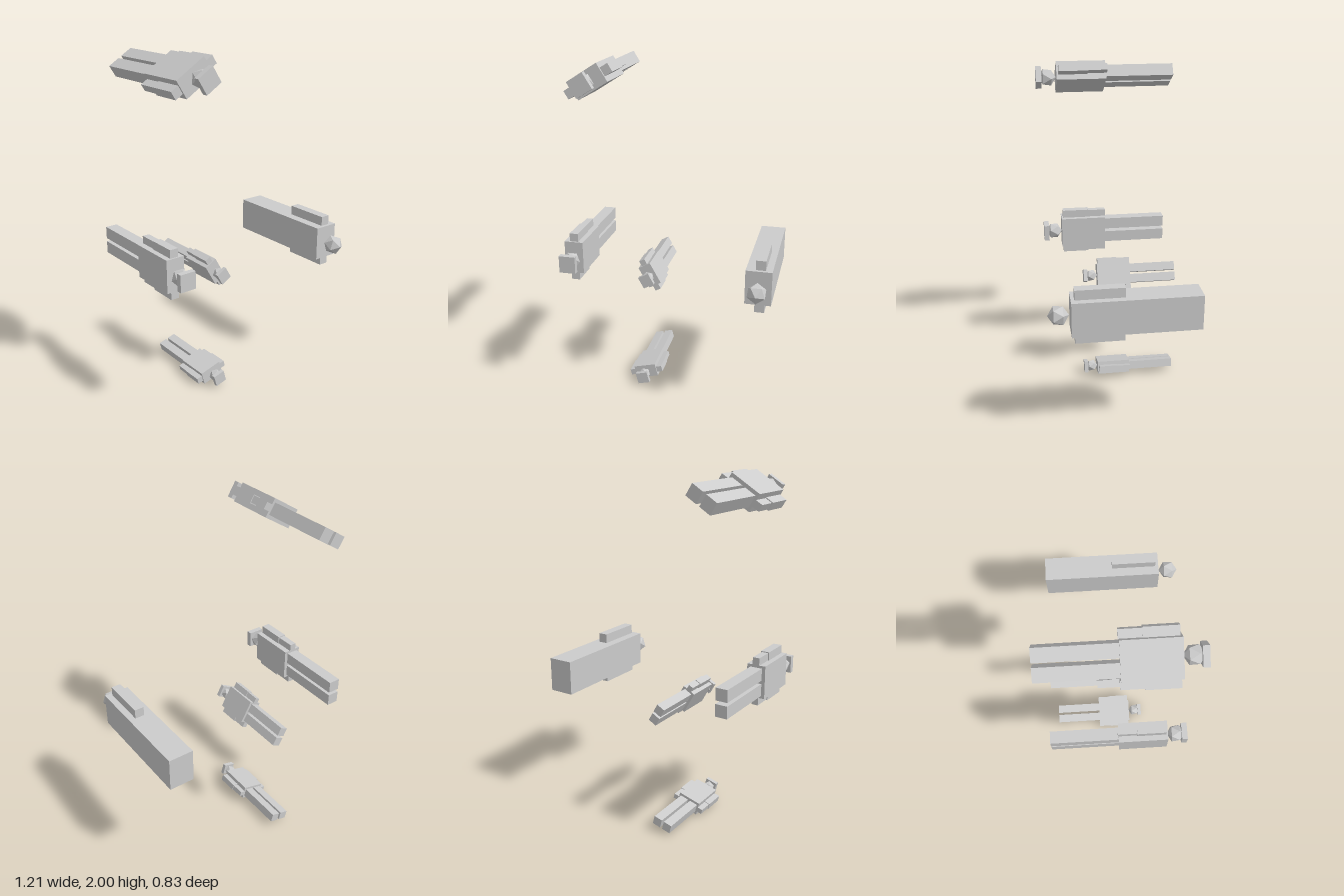
import * as THREE from 'three';

const grey = new THREE.MeshStandardMaterial({ color: 0xcccccc, flatShading: true });

// Box given by its centre (x, y), size (w, h) and z range
function box(parent, name, x, y, w, h, z0, z1) {
  const mesh = new THREE.Mesh(new THREE.BoxGeometry(w, h, z1 - z0), grey);
  mesh.name = name;
  mesh.position.set(x, y, (z0 + z1) / 2);
  parent.add(mesh);
}

// Faceted head with a corner pointing forward and another sideways
function head(parent, x, y, z, r, turn) {
  const geo = new THREE.IcosahedronGeometry(r, 0);
  geo.rotateX(Math.atan(2 / (1 + Math.sqrt(5))));
  geo.rotateZ(turn);
  const mesh = new THREE.Mesh(geo, grey);
  mesh.name = 'head';
  mesh.position.set(x, y, z);
  parent.add(mesh);
}

// Floating figure, feet at local z = 0, head toward +z, arms along x
function figure(name, x, y, degrees, scale) {
  const g = new THREE.Group();
  g.name = name;
  box(g, 'torso', 0, 0, 0.19, 0.11, 0.39, 0.67);
  for (const s of [-1, 1]) {
    box(g, s < 0 ? 'rightLeg' : 'leftLeg', s * 0.045, 0, 0.07, 0.07, 0, 0.39);
    box(g, s < 0 ? 'rightArm' : 'leftArm', s * 0.1165, 0, 0.043, 0.04, 0.385, 0.655);
    box(g, s < 0 ? 'rightSleeve' : 'leftSleeve', s * 0.119, 0, 0.048, 0.05, 0.495, 0.66);
  }
  head(g, 0, 0, 0.72, 0.052, Math.PI / 2);
  box(g, 'cap', 0, 0, 0.1, 0.095, 0.753, 0.785);
  g.position.set(x, y, -0.415);
  g.rotation.z = THREE.MathUtils.degToRad(degrees);
  g.scale.setScalar(scale);
  return g;
}

export function createModel() {
  const model = new THREE.Group();
  model.name = 'floatingFigures';
  model.add(
    figure('topFigure', -0.418, 1.9, 32, 1.03),
    figure('sideFigure', -0.55, 0.88, 90, 1),
    figure('smallMiddleFigure', -0.15, 0.725, -61, 0.725),
    figure('smallBottomFigure', -0.182, 0.059, 15, 0.725),
  );

  // Robed figure: one long block with short arms
  const robed = new THREE.Group();
  robed.name = 'robedFigure';
  box(robed, 'robe', 0.527, 0.817, 0.148, 0.2, -0.415, 0.29);
  for (const s of [-1, 1]) {
    box(robed, s < 0 ? 'lowerArm' : 'upperArm', 0.535, 0.817 + s * 0.128, 0.056, 0.056, 0, 0.27);
  }
  head(robed, 0.526, 0.817, 0.355, 0.058, 0);
  model.add(robed);
  return model;
}
